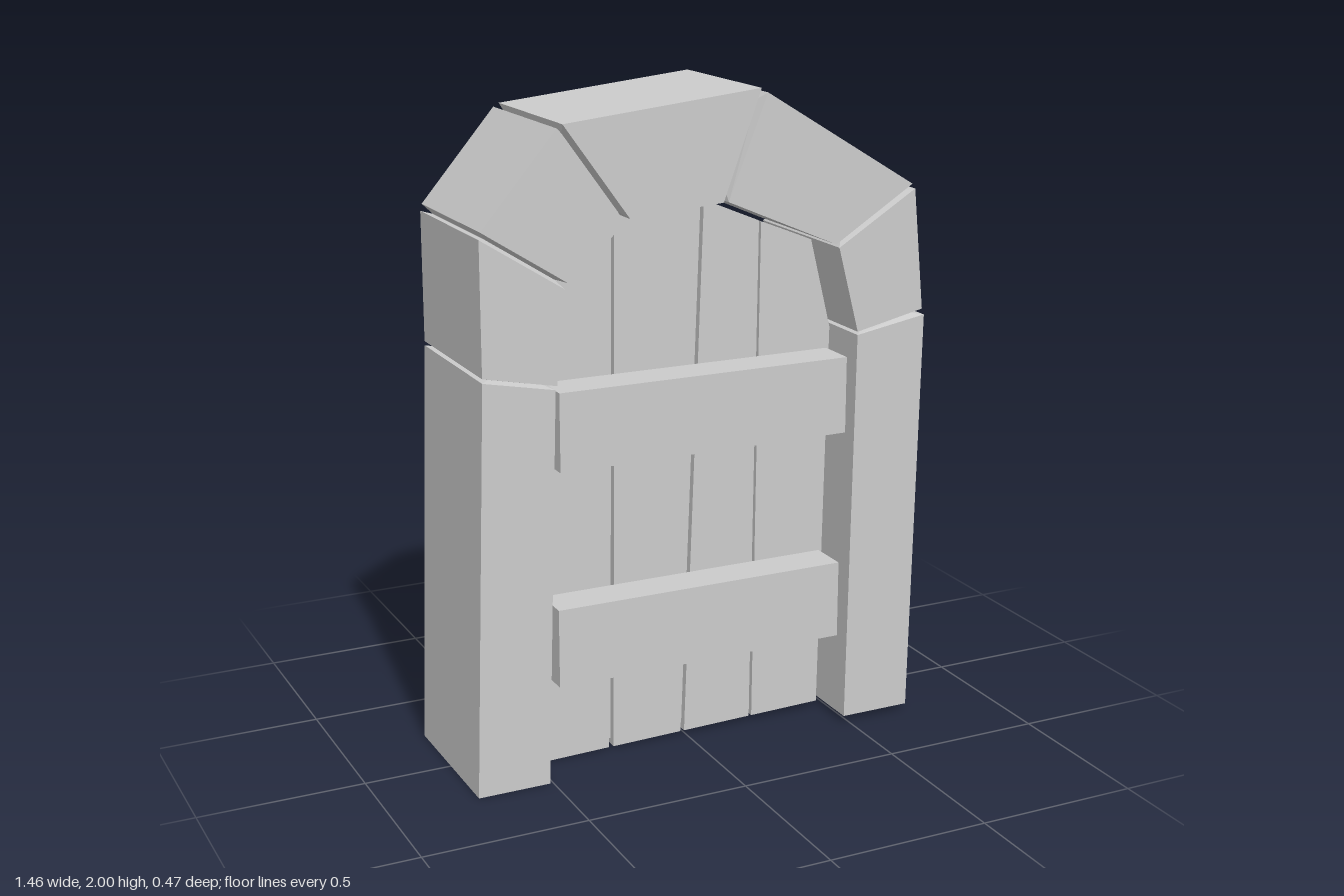
import * as THREE from 'three';

const material = new THREE.MeshStandardMaterial({ color: 0xcccccc, flatShading: true, side: THREE.DoubleSide });

function part(name, geometry, parent) {
  const mesh = new THREE.Mesh(geometry, material);
  mesh.name = name;
  parent.add(mesh);
  return mesh;
}

// Both ends of every stone, in order over the arch: [outer x, outer y, inner x, inner y]
const STONES = [
  [[-0.733, 0, -0.51, 0], [-0.69, 1.24, -0.473, 1.196]],
  [[-0.69, 1.253, -0.468, 1.207], [-0.69, 1.64, -0.44, 1.48]],
  [[-0.685, 1.66, -0.431, 1.497], [-0.458, 1.926, -0.257, 1.65]],
  [[-0.441, 1.936, -0.241, 1.66], [0.167, 2, 0.05, 1.683]],
  [[0.188, 1.986, 0.066, 1.683], [0.675, 1.69, 0.42, 1.53]],
  [[0.685, 1.675, 0.431, 1.519], [0.722, 1.307, 0.5, 1.259]],
  [[0.73, 1.288, 0.5, 1.249], [0.71, 0.02, 0.485, 0.02]],
];

// Stone surround: one rectangular section swept over the arch, pinched at each joint, open underneath
function surroundGeometry() {
  const halfDepth = 0.237, groove = 0.03;
  const sections = [];
  const addSection = ([ox, oy, ix, iy], inset) => {
    const t = inset / Math.hypot(ix - ox, iy - oy);
    const dx = (ix - ox) * t, dy = (iy - oy) * t, z = halfDepth - inset;
    sections.push([
      [ox + dx, oy + dy, z], [ix - dx, iy - dy, z],
      [ix - dx, iy - dy, -z], [ox + dx, oy + dy, -z],
    ]);
  };
  STONES.forEach(([start, end], i) => {
    addSection(start, 0);
    addSection(end, 0);
    const next = STONES[i + 1];
    if (next) addSection(end.map((v, k) => (v + next[0][k]) / 2), groove);
  });
  const index = [];
  for (let i = 0; i < sections.length - 1; i++) {
    for (let j = 0; j < 4; j++) {
      const a = i * 4 + j, b = i * 4 + (j + 1) % 4;
      index.push(a, b, b + 4, a, b + 4, a + 4);
    }
  }
  const geometry = new THREE.BufferGeometry();
  geometry.setAttribute('position', new THREE.Float32BufferAttribute(sections.flat(2), 3));
  geometry.setIndex(index);
  const flat = geometry.toNonIndexed();
  flat.computeVertexNormals();
  return flat;
}

// Upright slab cut to an outline, between two z positions
function slab(points, back, front) {
  const shape = new THREE.Shape(points.map(([x, y]) => new THREE.Vector2(x, y)));
  return new THREE.ExtrudeGeometry(shape, { depth: front - back, bevelEnabled: false }).translate(0, 0, back);
}

export function createModel() {
  const model = new THREE.Group();
  model.name = 'archedDoor';
  part('stoneSurround', surroundGeometry(), model);

  const door = new THREE.Group();
  door.name = 'door';
  model.add(door);

  // Planks with narrow gaps
  const planks = [
    [[-0.475, 0], [-0.257, 0.005], [-0.242, 1.645], [-0.435, 1.475]],
    [[-0.242, 0.005], [-0.016, 0.01], [0.042, 1.67], [-0.227, 1.647]],
    [[-0.003, 0.01], [0.223, 0.015], [0.239, 1.592], [0.058, 1.668]],
    [[0.232, 0.015], [0.465, 0.02], [0.485, 1.245], [0.416, 1.52], [0.246, 1.588]],
  ];
  planks.forEach((outline) => part('plank', slab(outline, -0.062, 0.095), door));

  // Recessed core closing the gaps
  part('doorCore', slab([
    [-0.46, 0.02], [0.45, 0.035], [0.47, 1.24], [0.405, 1.5],
    [0.05, 1.645], [-0.235, 1.625], [-0.42, 1.465],
  ], -0.04, 0.073), door);

  // Cross battens on both faces
  for (const [x, y, height] of [[0.01, 1.0625, 0.235], [-0.002, 0.41, 0.24]]) {
    for (const [back, front] of [[0.095, 0.22], [-0.185, -0.062]]) {
      part('batten', new THREE.BoxGeometry(0.93, height, front - back), door)
        .position.set(x, y, (back + front) / 2);
    }
  }
  return model;
}
